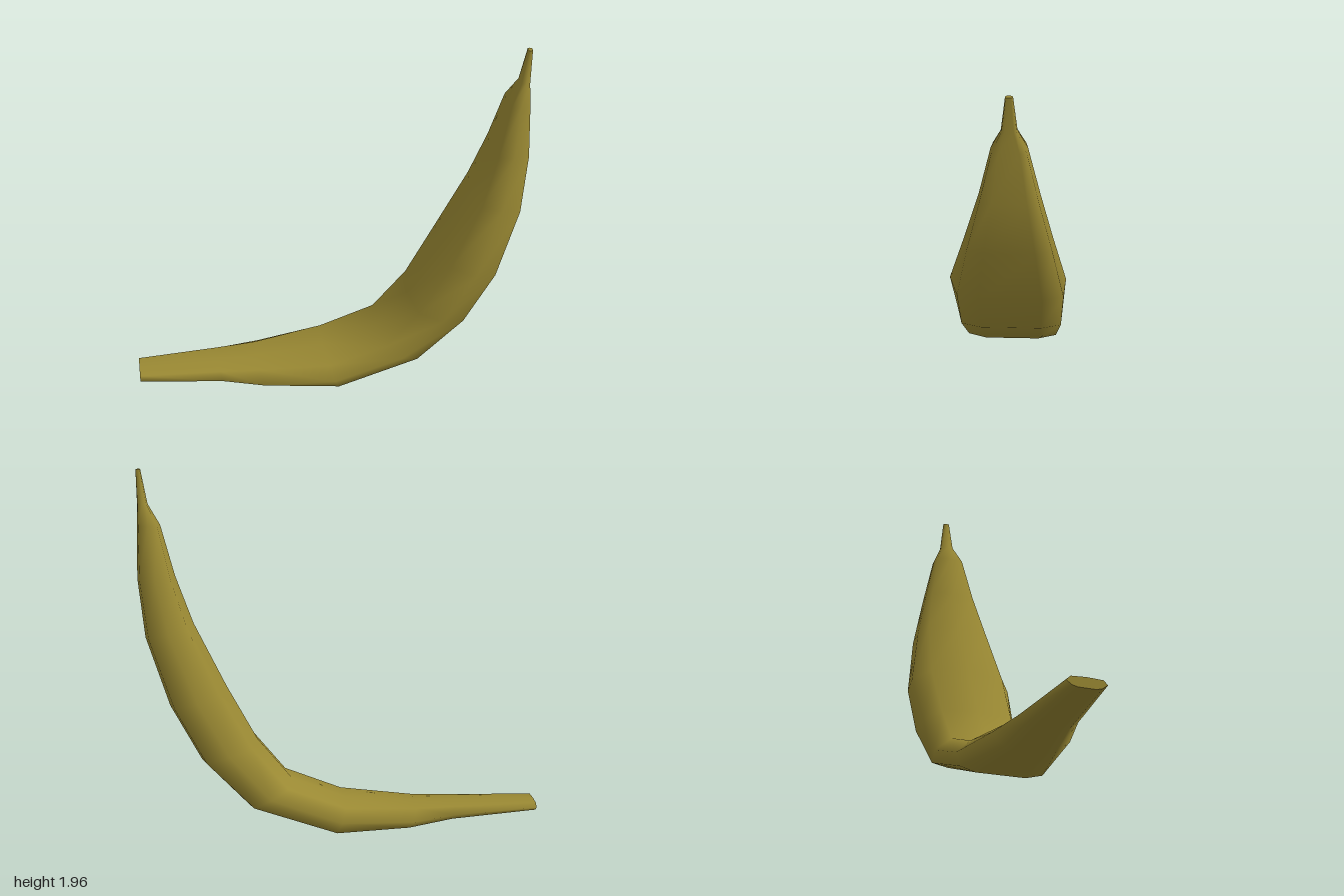
import * as THREE from 'three';

// Cross-sections from the blunt end to the stem tip, in the plane of the bend:
// inner edge [along, height], outer edge [along, height],
// half widths inner/middle/outer, sideways lean of the inner half
const SECTIONS = [
  [-1.09, 0.12, -1.09, 0.078, 0.08, 0.103, 0.075, 0],
  [-0.64, 0.12, -0.62, 0.05, 0.11, 0.152, 0.11, 0],
  [-0.42, 0.12, -0.38, 0.016, 0.13, 0.205, 0.14, 0],
  [-0.03, 0.15, 0.02, 0.025, 0.187, 0.255, 0.225, 0],
  [0.28, 0.265, 0.464, 0.18, 0.197, 0.26, 0.235, -0.012],
  [0.468, 0.49, 0.71, 0.44, 0.203, 0.268, 0.257, -0.018],
  [0.633, 0.79, 0.871, 0.74, 0.213, 0.292, 0.265, -0.015],
  [0.797, 1.14, 0.998, 1.1, 0.175, 0.212, 0.205, -0.006],
  [0.882, 1.4, 1.04, 1.4, 0.128, 0.145, 0.139, 0],
  [0.945, 1.67, 1.042, 1.67, 0.077, 0.086, 0.081, 0],
  [1.0, 1.78, 1.044, 1.78, 0.033, 0.038, 0.035, 0],
  [1.03, 1.96, 1.05, 1.96, 0.015, 0.018, 0.015, 0],
];
const SIDES = 9;
const OFFSET = 0.025; // sideways shift of the plane of the bend

// Turn along / height / sideways into model space (the fruit lies diagonally)
const place = (t, y, w) => [0.882 * t + 0.47 * (w + OFFSET), y, 0.47 * t - 0.882 * (w + OFFSET)];

// Nine corners: an inner ridge, then inner, middle, outer and belly corners on each side
function ring([ti, yi, to, yo, wi, wm, wo, lean]) {
  const tm = (ti + to) / 2, ym = (yi + yo) / 2;
  const depth = Math.hypot(to - ti, yo - yi);
  const dt = (to - ti) / depth, dy = (yo - yi) / depth;
  const ridge = 0.16 * wi, belly = 0.1 * wo;
  const tb = to + dt * belly, yb = yo + dy * belly;
  return [
    place(ti - dt * ridge, yi - dy * ridge * 0.3, lean),
    place(ti, yi, lean + wi), place(tm, ym, lean + wm), place(to, yo, wo), place(tb, yb, 0.6 * wo),
    place(tb, yb, -0.6 * wo), place(to, yo, -wo), place(tm, ym, lean - wm), place(ti, yi, lean - wi),
  ];
}

function makeGeometry(points, index) {
  const geometry = new THREE.BufferGeometry();
  geometry.setAttribute('position', new THREE.Float32BufferAttribute(points.flat(), 3));
  geometry.setIndex(index);
  geometry.computeVertexNormals();
  return geometry;
}

// Smooth skin joining neighbouring rings
function skinGeometry(rings) {
  const index = [];
  for (let k = 0; k < rings.length - 1; k++) {
    for (let i = 0; i < SIDES; i++) {
      const a = k * SIDES + i, b = k * SIDES + ((i + 1) % SIDES);
      index.push(a, a + SIDES, b, b, a + SIDES, b + SIDES);
    }
  }
  return makeGeometry(rings.flat(), index);
}

// Flat fan closing one end
function capGeometry(points) {
  const index = [];
  for (let i = 1; i < SIDES - 1; i++) index.push(0, i, i + 1);
  return makeGeometry(points, index);
}

export function createModel() {
  const group = new THREE.Group();
  group.name = 'banana';
  const peel = new THREE.MeshStandardMaterial({ color: 0x9a8933 });
  peel.name = 'olive yellow peel';

  const add = (name, geometry) => {
    const mesh = new THREE.Mesh(geometry, peel);
    mesh.name = name;
    group.add(mesh);
  };

  const rings = SECTIONS.map(ring);
  add('skin', skinGeometry(rings));
  add('bluntEnd', capGeometry(rings[0]));
  add('stemTip', capGeometry([...rings[rings.length - 1]].reverse()));
  return group;
}
